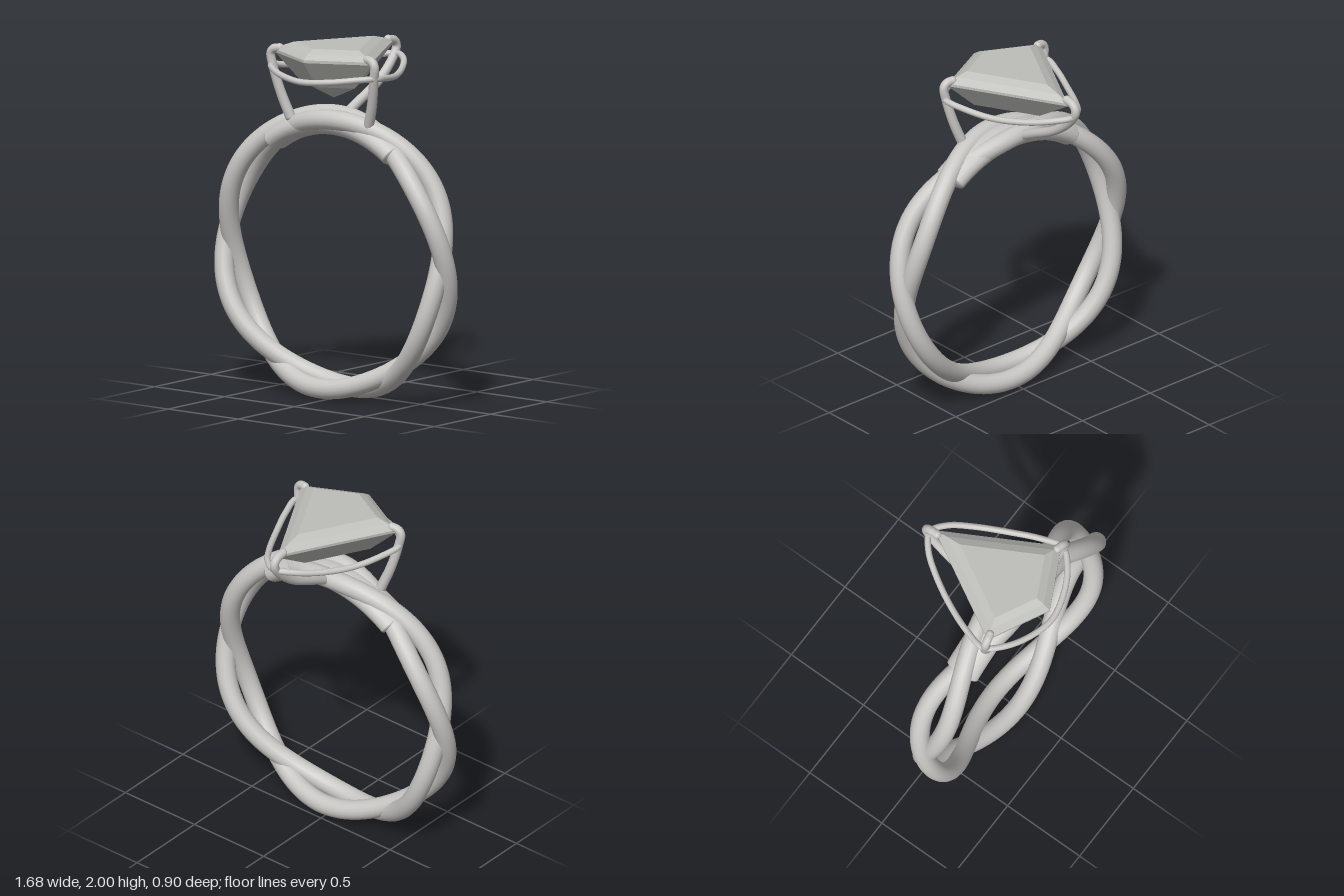
import * as THREE from 'three';

const V = (x, y, z) => new THREE.Vector3(x, y, z);
const CY = 0.82, CZ = 0.131; // centre of the band

// One strand of the twisted band
class Strand extends THREE.Curve {
  constructor(sign) { super(); this.sign = sign; }
  getPoint(t, target = new THREE.Vector3()) {
    const a = t * Math.PI * 2;
    const r = 0.762 + this.sign * 0.02 * Math.cos(3 * a);
    return target.set(r * Math.cos(a), CY + r * Math.sin(a), CZ + this.sign * 0.077 * Math.sin(3 * a));
  }
}

export function createModel() {
  const model = new THREE.Group();
  const metal = new THREE.MeshStandardMaterial({ color: 0xc8c6c3 });
  metal.name = 'metal';
  const gem = new THREE.MeshStandardMaterial({ color: 0xbdbdb9 });
  gem.name = 'stone';

  const add = (parent, name, geometry, material = metal) => {
    const mesh = new THREE.Mesh(geometry, material);
    mesh.name = name;
    parent.add(mesh);
    return mesh;
  };

  // Round wire with ball ends, tapering from r0 to r1
  const wire = (name, points, r0, r1) => {
    const group = new THREE.Group();
    group.name = name;
    const curve = new THREE.CatmullRomCurve3(points);
    const rows = 40, sides = 14;
    const geo = new THREE.TubeGeometry(curve, rows, 1, sides);
    const pos = geo.attributes.position, v = V(0, 0, 0);
    for (let i = 0; i < pos.count; i++) {
      const t = Math.floor(i / (sides + 1)) / rows;
      const c = curve.getPointAt(t);
      v.fromBufferAttribute(pos, i).sub(c).multiplyScalar(r0 + (r1 - r0) * t).add(c);
      pos.setXYZ(i, v.x, v.y, v.z);
    }
    add(group, name + 'Wire', geo);
    [[points[0], r0], [points[points.length - 1], r1]].forEach(([p, r]) =>
      add(group, name + 'End', new THREE.SphereGeometry(r, 14, 10)).position.copy(p));
    model.add(group);
  };

  // Twisted band
  for (const s of [1, -1]) {
    add(model, 'bandStrand', new THREE.TubeGeometry(new Strand(s), 200, 0.056, 18, true));
  }

  // Solid bridge under the setting, with rounded ends
  const bridge = new THREE.Group();
  bridge.name = 'bridge';
  bridge.position.set(0, CY, CZ);
  const a0 = THREE.MathUtils.degToRad(55), arc = Math.PI - 2 * a0;
  const bar = new THREE.TorusGeometry(0.735, 0.068, 20, 40, arc);
  bar.scale(1, 1, 1.5);
  bar.rotateZ(a0);
  add(bridge, 'bridgeBar', bar);
  for (const a of [a0, Math.PI - a0]) {
    const end = add(bridge, 'bridgeEnd', new THREE.SphereGeometry(1, 20, 14));
    end.scale.set(0.068, 0.025, 0.102);
    end.rotation.z = a;
    end.position.set(0.735 * Math.cos(a), 0.735 * Math.sin(a), 0);
  }
  model.add(bridge);

  // Kite-cut stone, built from scaled kite outlines: [scale, height]
  const kite = [[0, -0.525], [0.345, 0.095], [0, 0.27], [-0.345, 0.095]];
  const levels = [[0, 2], [0.67, 2], [0.85, 1.977], [1, 1.948], [1, 1.932], [0.55, 1.778], [0, 1.7]];
  const verts = [];
  const corner = (l, i) => {
    const [s, y] = levels[l], [x, z] = kite[i % 4];
    return [x * s, y, 0.15 + z * s];
  };
  for (let l = 0; l < levels.length - 1; l++) {
    for (let i = 0; i < 4; i++) {
      const a = corner(l, i), b = corner(l, i + 1), c = corner(l + 1, i + 1), d = corner(l + 1, i);
      if (levels[l][0] > 0) verts.push(...a, ...b, ...c);
      if (levels[l + 1][0] > 0) verts.push(...a, ...c, ...d);
    }
  }
  const stoneGeo = new THREE.BufferGeometry();
  stoneGeo.setAttribute('position', new THREE.Float32BufferAttribute(verts, 3));
  stoneGeo.computeVertexNormals();
  add(model, 'stone', stoneGeo, gem);

  // Side prongs hooked over the stone
  for (const s of [1, -1]) {
    wire('sideProng', [
      V(s * 0.28, 1.57, 0.19), V(s * 0.325, 1.7, 0.215), V(s * 0.36, 1.85, 0.242),
      V(s * 0.37, 1.93, 0.25), V(s * 0.35, 1.953, 0.248), V(s * 0.315, 1.96, 0.24),
    ], 0.03, 0.024);
  }

  // Back prong sweeping out to the long point
  wire('backProng', [
    V(-0.015, 1.58, 0.04), V(-0.015, 1.63, -0.06), V(-0.015, 1.73, -0.255), V(-0.015, 1.83, -0.375),
    V(-0.015, 1.91, -0.425), V(-0.015, 1.945, -0.405), V(-0.015, 1.958, -0.35),
  ], 0.028, 0.025);

  // Gallery rail looping around the prongs
  const half = [[0.09, 1.862, -0.355], [0.18, 1.838, -0.235], [0.275, 1.825, -0.06],
    [0.345, 1.842, 0.11], [0.372, 1.858, 0.235], [0.3, 1.853, 0.32], [0.17, 1.837, 0.395]];
  const rail = new THREE.CatmullRomCurve3([
    V(0, 1.872, -0.41), ...half.map(p => V(...p)), V(0, 1.826, 0.436),
    ...half.slice().reverse().map(([x, y, z]) => V(-x, y, z)),
  ], true);
  add(model, 'galleryRail', new THREE.TubeGeometry(rail, 160, 0.018, 12, true));

  return model;
}
